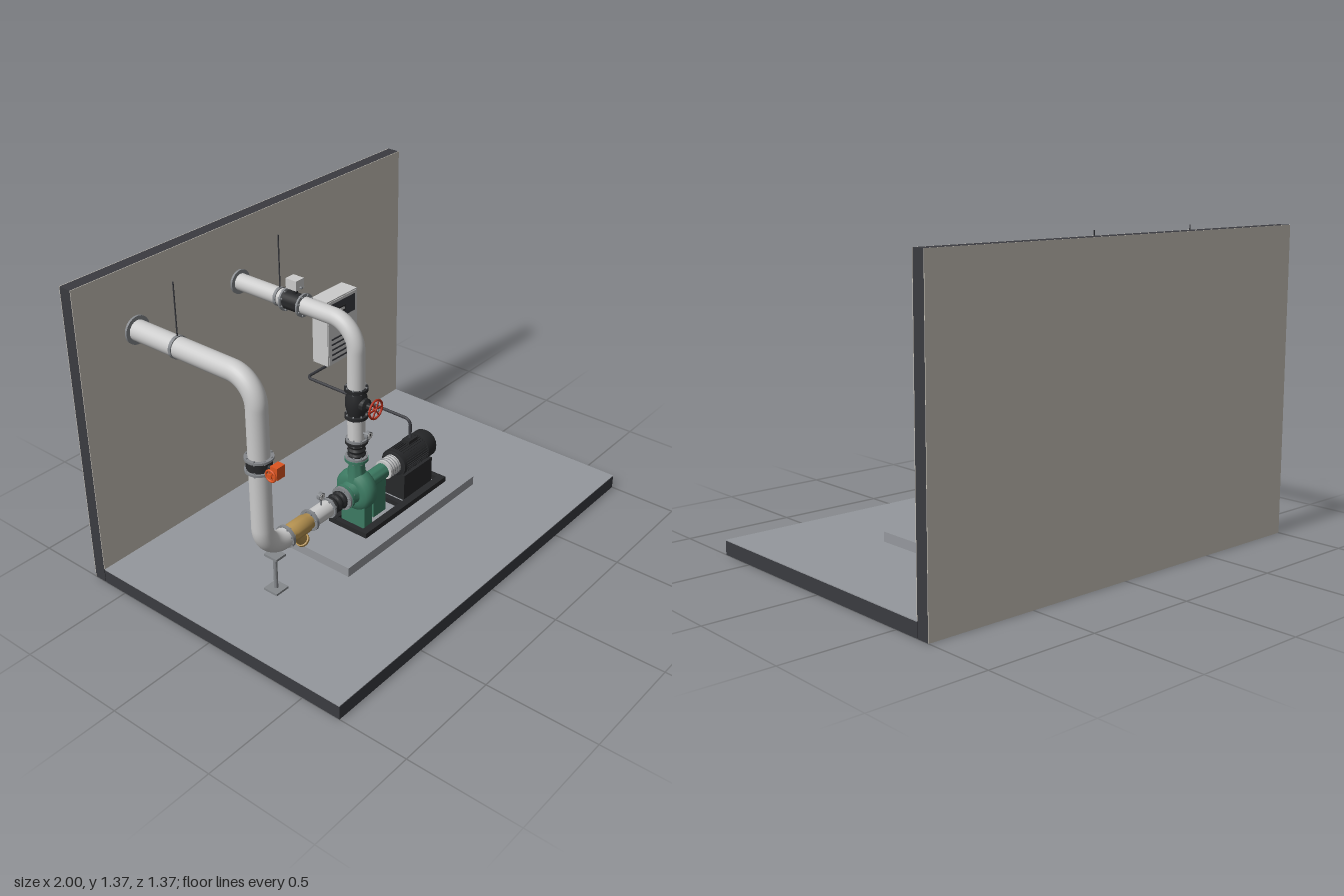
import * as THREE from 'three';
import { toCreasedNormals } from 'three/addons/utils/BufferGeometryUtils.js';

const V = (x, y, z) => new THREE.Vector3(x, y, z);
const mat = (color) => new THREE.MeshStandardMaterial({ color });
const X = V(1, 0, 0), Y = V(0, 1, 0), Z = V(0, 0, 1);
const AX = 0.295, PZ = 0.033;          // pump shaft height and depth
const DX = -0.11, SX = -0.70;          // discharge and suction riser positions

export function createModel() {
  const root = new THREE.Group();
  root.name = 'pumpStation';
  const M = {
    grey: mat(0xcccccc), steel: mat(0x85888c), dark: mat(0x3a3b40), black: mat(0x27282a), floor: mat(0x95989d),
    wall: mat(0xc8c3b9), green: mat(0x3c7a62), brass: mat(0xb3904f), orange: mat(0xdc5420), red: mat(0xb5301c),
  };

  const add = (name, geo, m) => {
    const mesh = new THREE.Mesh(geo, m);
    mesh.name = name;
    root.add(mesh);
    return mesh;
  };
  // box from its minimum and maximum corners
  const box = (name, m, x0, x1, y0, y1, z0, z1) => {
    const b = add(name, new THREE.BoxGeometry(x1 - x0, y1 - y0, z1 - z0), m);
    b.position.set((x0 + x1) / 2, (y0 + y1) / 2, (z0 + z1) / 2);
    return b;
  };
  // turned part: profile of [radius, distance along axis], closed at both ends
  const turn = (name, m, origin, dir, profile, seg = 32) => {
    const pts = [[0, profile[0][1]], ...profile, [0, profile[profile.length - 1][1]]];
    const geo = new THREE.LatheGeometry(pts.map(([r, t]) => new THREE.Vector2(r, t)), seg);
    const t = add(name, toCreasedNormals(geo, 0.7), m);
    t.position.copy(origin);
    t.quaternion.setFromUnitVectors(Y, dir.clone().normalize());
    return t;
  };
  const rod = (name, m, origin, dir, r, a, b, seg = 32) => turn(name, m, origin, dir, [[r, a], [r, b]], seg);
  // flange disc with a ring of bolts
  const flange = (m, origin, dir, r, a, t = 0.01) => {
    rod('flange', m, origin, dir, r, a - t / 2, a + t / 2);
    const q = new THREE.Quaternion().setFromUnitVectors(Y, dir);
    for (let i = 0; i < 8; i++) {
      const ang = (i + 0.5) * Math.PI / 4;
      const off = V(Math.cos(ang), 0, Math.sin(ang)).multiplyScalar(r - 0.007).applyQuaternion(q);
      rod('flangeBolt', M.steel, origin.clone().add(off), dir, 0.004, a - t / 2 - 0.006, a + t / 2 + 0.006, 6);
    }
  };
  // pipe through corner points, each corner rounded to a bend radius
  const pipe = (name, m, points, r, bend, seg, sides = 28) => {
    const path = new THREE.CurvePath();
    let from = points[0];
    for (let i = 1; i < points.length - 1; i++) {
      const p = points[i];
      const u = points[i - 1].clone().sub(p).normalize(), w = points[i + 1].clone().sub(p).normalize();
      const at = (d, k) => p.clone().addScaledVector(d, k);
      path.add(new THREE.LineCurve3(from, at(u, bend)));
      path.add(new THREE.CubicBezierCurve3(at(u, bend), at(u, bend * 0.448), at(w, bend * 0.448), at(w, bend)));
      from = at(w, bend);
    }
    path.add(new THREE.LineCurve3(from, points[points.length - 1]));
    add(name, new THREE.TubeGeometry(path, seg, r, sides), m);
  };
  // ribbed rubber joint between a and b
  const bellows = (origin, dir, a, b, r) => {
    const prof = [];
    for (let i = 0; i <= 36; i++)
      prof.push([r - 0.007 * (0.5 + 0.5 * Math.cos(i / 36 * Math.PI * 6)), a + (b - a) * i / 36]);
    turn('expansionJoint', M.black, origin, dir, prof);
  };
  const handwheel = (m, center, dir, r) => {
    const g = new THREE.Group();
    g.name = 'handwheel';
    g.add(new THREE.Mesh(new THREE.TorusGeometry(r, 0.005, 10, 32), m));
    for (let i = 0; i < 3; i++) {
      const s = new THREE.Mesh(new THREE.BoxGeometry(2 * r, 0.006, 0.005), m);
      s.rotation.z = i * Math.PI / 3;
      g.add(s);
    }
    const hub = new THREE.Mesh(new THREE.CylinderGeometry(0.01, 0.01, 0.018, 16), m);
    hub.rotation.x = Math.PI / 2;
    g.add(hub);
    g.position.copy(center);
    g.quaternion.setFromUnitVectors(Z, dir);
    root.add(g);
  };
  const gauge = (x, y, z) => {
    rod('gaugeCase', M.steel, V(x, y, z), Z, 0.018, -0.009, 0.008, 24);
    rod('gaugeFace', M.grey, V(x, y, z), Z, 0.014, 0.008, 0.01, 24);
    box('gaugeNeedle', M.black, x - 0.0015, x + 0.0015, y, y + 0.011, z + 0.009, z + 0.0115);
  };

  // room: floor slab, back wall and their finishes
  box('floorSlab', M.dark, -1, 1, 0, 0.062, -0.62, 0.685);
  box('floorFinish', M.floor, -1, 1, 0.062, 0.066, -0.62, 0.685);
  box('wallCore', M.dark, -1, 1, 0, 1.37, -0.682, -0.623);
  box('wallFrontFinish', M.wall, -1, 1, 0.066, 1.37, -0.623, -0.62);
  box('wallBackFinish', M.wall, -1, 1, 0, 1.37, -0.685, -0.682);

  // plinth and base frame
  box('plinth', M.floor, -0.385, 0.52, 0.066, 0.11, -0.15, 0.215);
  for (const z of [-0.072, 0.103]) box('frameRail', M.black, -0.175, 0.405, 0.11, 0.135, z, z + 0.035);
  for (const x of [-0.175, 0.1, 0.38]) box('frameCrossbar', M.black, x, x + 0.025, 0.11, 0.134, -0.04, 0.105);

  // pump casing, nozzles, bearing housing and feet
  const shaft = V(0, AX, PZ), riser = V(DX, 0, PZ);
  turn('volute', M.green, shaft, X, [[0.06, -0.152], [0.082, -0.146], [0.095, -0.132], [0.099, -0.11],
    [0.095, -0.086], [0.082, -0.07], [0.06, -0.062]], 40);
  turn('suctionNozzle', M.green, shaft, X, [[0.04, -0.2], [0.04, -0.175], [0.055, -0.145]]);
  flange(M.green, shaft, X, 0.056, -0.193, 0.014);
  turn('dischargeNozzle', M.green, riser, Y, [[0.046, 0.34], [0.036, 0.41], [0.036, 0.45]]);
  flange(M.green, riser, Y, 0.052, 0.451, 0.012);
  turn('bearingHousing', M.green, shaft, X, [[0.06, -0.065], [0.05, -0.05], [0.036, -0.04], [0.036, 0.07]]);
  box('pumpFoot', M.green, -0.137, -0.085, 0.11, 0.23, -0.032, 0.098);
  box('bearingPedestal', M.green, -0.03, 0.055, 0.11, 0.275, 0.003, 0.063);

  // coupling guard with slots
  rod('couplingGuard', M.grey, shaft, X, 0.045, 0.075, 0.147);
  for (let i = 0; i < 4; i++) rod('guardSlot', M.steel, shaft, X, 0.0458, 0.087 + i * 0.015, 0.091 + i * 0.015);

  // motor with cooling fins, end cowl, pedestal and terminal box
  turn('motorBody', M.black, shaft, X, [[0.045, 0.143], [0.06, 0.148], [0.06, 0.33]]);
  for (let i = 0; i < 36; i++) {
    const a = i * Math.PI / 18;
    const f = box('motorFin', M.black, 0.165, 0.32, AX - 0.002, AX + 0.002, PZ - 0.003, PZ + 0.003);
    f.position.y += Math.sin(a) * 0.061;
    f.position.z += Math.cos(a) * 0.061;
    f.rotation.x = -a;
    f.scale.z = 1.3;
  }
  rod('motorEndShield', M.black, shaft, X, 0.066, 0.148, 0.165);
  turn('fanCowl', M.black, shaft, X, [[0.066, 0.322], [0.066, 0.378], [0.058, 0.39]]);
  box('motorPedestal', M.black, 0.16, 0.365, 0.11, 0.24, -0.02, 0.086);
  box('terminalBox', M.black, 0.235, 0.295, 0.345, 0.373, 0.013, 0.053);

  // conduit to the control panel
  pipe('conduit', M.dark, [V(0.267, 0.36, PZ), V(0.267, 0.466, PZ), V(0.267, 0.466, -0.585),
    V(0.465, 0.466, -0.585), V(0.465, 0.51, -0.585)], 0.007, 0.03, 160, 10);
  box('controlPanel', M.grey, 0.355, 0.57, 0.503, 0.84, -0.62, -0.527);
  box('panelDoor', M.grey, 0.361, 0.564, 0.509, 0.834, -0.527, -0.524);
  box('panelDisplay', M.dark, 0.375, 0.55, 0.733, 0.82, -0.524, -0.5225);
  box('displayFrame', M.black, 0.395, 0.478, 0.76, 0.79, -0.5225, -0.52);
  box('displayBar', M.grey, 0.402, 0.471, 0.769, 0.781, -0.52, -0.518);
  for (let i = 0; i < 5; i++)
    box('panelLouvre', M.dark, 0.38, 0.548, 0.525 + i * 0.027, 0.533 + i * 0.027, -0.524, -0.521);

  // discharge line: joint, spool with gauge, gate valve
  bellows(riser, Y, 0.462, 0.535, 0.04);
  flange(M.steel, riser, Y, 0.05, 0.463);
  flange(M.black, riser, Y, 0.05, 0.538);
  rod('dischargeSpool', M.grey, riser, Y, 0.039, 0.54, 0.66);
  flange(M.steel, riser, Y, 0.047, 0.55);
  rod('gaugeStem', M.steel, V(DX, 0.59, PZ), Z, 0.005, 0.03, 0.06, 12);
  gauge(DX, 0.59, 0.098);
  turn('gateValveBody', M.black, riser, Y, [[0.036, 0.665], [0.041, 0.685], [0.047, 0.71], [0.048, 0.73],
    [0.047, 0.75], [0.041, 0.775], [0.036, 0.795]]);
  flange(M.black, riser, Y, 0.051, 0.665, 0.014);
  flange(M.black, riser, Y, 0.051, 0.793, 0.014);
  turn('valveBonnet', M.black, V(DX, 0.73, PZ), Z, [[0.032, 0.03], [0.03, 0.055], [0.014, 0.062], [0.012, 0.08]]);
  rod('valveStem', M.steel, V(DX, 0.73, PZ), Z, 0.005, 0.07, 0.12, 12);
  handwheel(M.red, V(DX, 0.73, 0.137), Z, 0.042);
  pipe('dischargePipe', M.grey, [V(DX, 0.795, PZ), V(DX, 1.09, PZ), V(DX, 1.09, -0.62)], 0.038, 0.12, 90);

  // flow meter on the discharge line
  const meter = V(DX, 1.09, 0);
  rod('flowMeterBody', M.black, meter, Z, 0.041, -0.345, -0.245);
  for (const z of [-0.247, -0.343]) flange(M.steel, meter, Z, 0.052, z, 0.009);
  rod('flowMeterNeck', M.black, V(DX, 1.09, -0.295), Y, 0.011, 0.03, 0.068, 16);
  box('flowMeterHead', M.grey, -0.135, -0.085, 1.155, 1.2, -0.324, -0.266);
  rod('cableGland', M.steel, V(DX, 1.165, -0.266), Z, 0.005, 0, 0.01, 12);

  // suction line: riser, butterfly valve with geared handwheel
  const suction = V(SX, 0, PZ);
  pipe('suctionPipe', M.grey, [V(-0.565, AX, PZ), V(SX, AX, PZ), V(SX, 1.09, PZ), V(SX, 1.09, -0.62)], 0.045, 0.12, 140);
  rod('butterflyValveBody', M.black, suction, Y, 0.053, 0.702, 0.742);
  for (const y of [0.695, 0.749]) flange(M.steel, suction, Y, 0.06, y);
  rod('valveStem', M.black, V(SX, 0.722, PZ), Z, 0.011, 0.04, 0.085, 16);
  box('gearbox', M.orange, -0.722, -0.677, 0.695, 0.749, 0.112, 0.147);
  rod('gearShaft', M.steel, V(SX, 0.722, 0.132), X, 0.005, -0.045, -0.02, 12);
  handwheel(M.orange, V(-0.742, 0.722, 0.132), X, 0.024);

  // strainer, spool with gauge and joint leading to the pump
  flange(M.steel, shaft, X, 0.051, -0.567, 0.014);
  turn('strainerBody', M.brass, shaft, X, [[0.035, -0.56], [0.035, -0.545], [0.041, -0.53], [0.041, -0.45],
    [0.035, -0.435], [0.035, -0.415]]);
  turn('strainerLeg', M.brass, V(-0.525, AX, PZ), V(0.62, -0.78, 0),
    [[0.026, 0], [0.026, 0.085], [0.031, 0.087], [0.031, 0.098], [0.014, 0.1], [0.014, 0.108]], 24);
  flange(M.steel, shaft, X, 0.049, -0.418, 0.012);
  rod('suctionSpool', M.grey, shaft, X, 0.039, -0.415, -0.3);
  rod('gaugeStem', M.steel, V(-0.345, AX, PZ), Y, 0.005, 0.035, 0.07, 12);
  gauge(-0.345, 0.377, PZ);
  flange(M.steel, shaft, X, 0.047, -0.302);
  bellows(shaft, X, -0.298, -0.21, 0.042);
  flange(M.steel, shaft, X, 0.054, -0.208, 0.012);

  // wall collars, clamps and hanger rods
  for (const [x, r] of [[SX, 0.045], [DX, 0.038]]) {
    rod('wallCollar', M.steel, V(x, 1.09, 0), Z, r + 0.017, -0.62, -0.61);
    rod('pipeClamp', M.steel, V(x, 1.09, 0), Z, r + 0.004, -0.388, -0.374);
    rod('hangerRod', M.dark, V(x, 0, -0.381), Y, 0.003, 1.09 + r, 1.37, 8);
  }

  // floor stand below the suction elbow
  box('standFoot', M.steel, -0.672, -0.6, 0.066, 0.076, PZ - 0.036, PZ + 0.036);
  rod('standPost', M.steel, V(-0.636, 0, PZ), Y, 0.009, 0.07, 0.24, 16);
  box('standSaddle', M.steel, -0.664, -0.608, 0.236, 0.247, PZ - 0.035, PZ + 0.035);

  return root;
}
